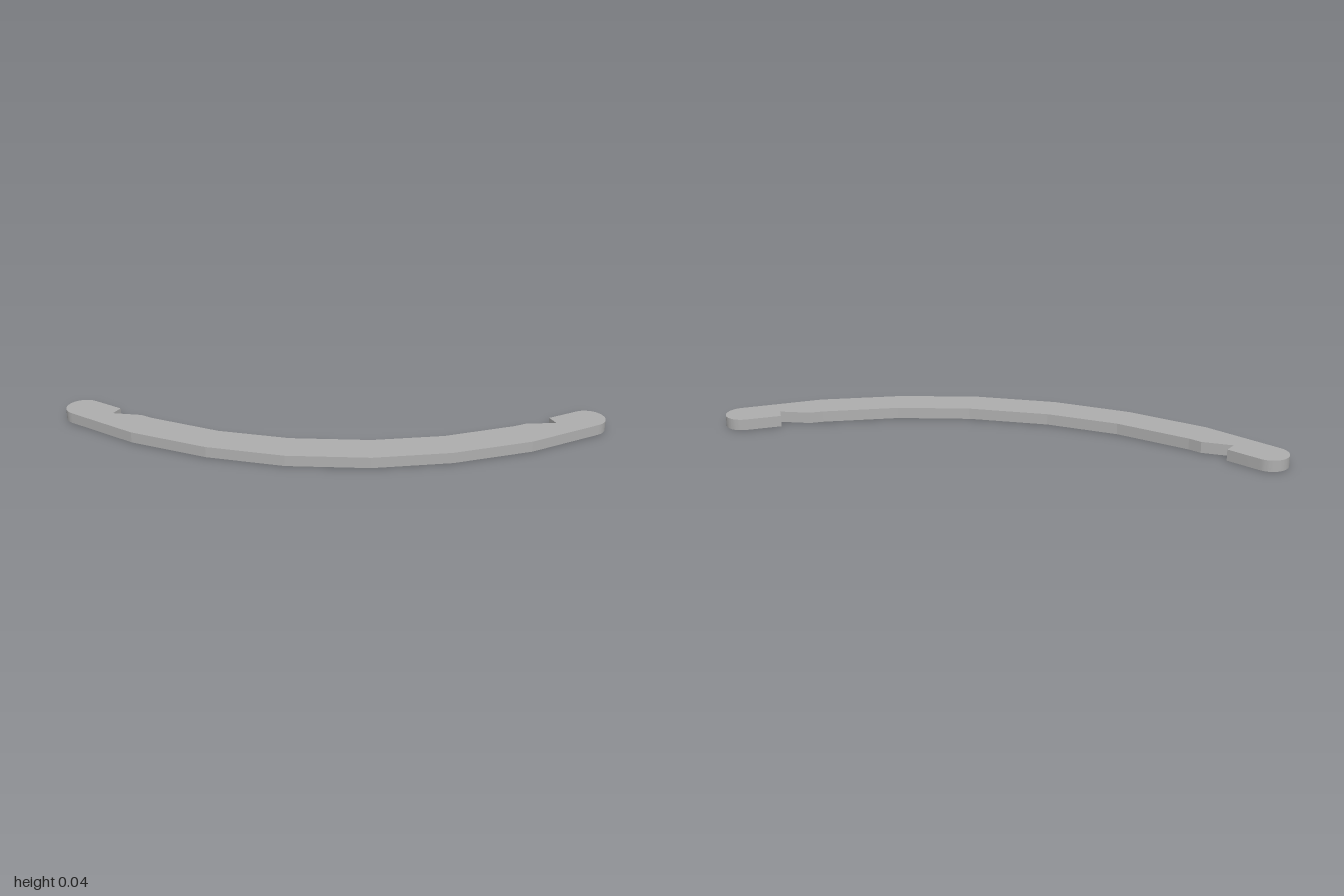
import * as THREE from 'three';
import { toCreasedNormals } from 'three/addons/utils/BufferGeometryUtils.js';

const HEIGHT = 0.04;
const CAP = { x: 0.935, z: -0.147, r: 0.065, steps: 32 };

// Left half of the plan outline as [x, z], from front centre round to back centre
function halfOutline() {
  const front = [[0.15, 0.212], [0.432, 0.16], [0.715, 0.058]];
  // Rounded tip, turning half a circle about its centre
  const tip = [];
  for (let i = 0; i <= CAP.steps; i++) {
    const a = Math.PI / 3 - (i / CAP.steps) * Math.PI;
    tip.push([CAP.x + CAP.r * Math.cos(a), CAP.z + CAP.r * Math.sin(a)]);
  }
  // Notch near the tip, then the faceted inner edge
  const back = [
    [0.795, -0.142], [0.815, -0.099], [0.706, -0.089], [0.663, -0.066],
    [0.405, 0.029], [0.145, 0.075],
  ];
  return [...front, ...tip, ...back];
}

export function createModel() {
  const group = new THREE.Group();
  group.name = 'curvedBand';

  const grey = new THREE.MeshStandardMaterial({ color: 0xb0b0b0 });
  grey.name = 'grey';

  // Mirror the half outline and extrude it upward
  const half = halfOutline();
  const mirrored = half.map(([x, z]) => [-x, z]).reverse();
  const shape = new THREE.Shape([...half, ...mirrored].map(([x, z]) => new THREE.Vector2(x, -z)));
  const extruded = new THREE.ExtrudeGeometry(shape, { depth: HEIGHT, bevelEnabled: false });
  extruded.rotateX(-Math.PI / 2);

  // Smooth tips, sharp facets along the arc
  const band = new THREE.Mesh(toCreasedNormals(extruded, 0.12), grey);
  band.name = 'band';
  group.add(band);
  return group;
}
